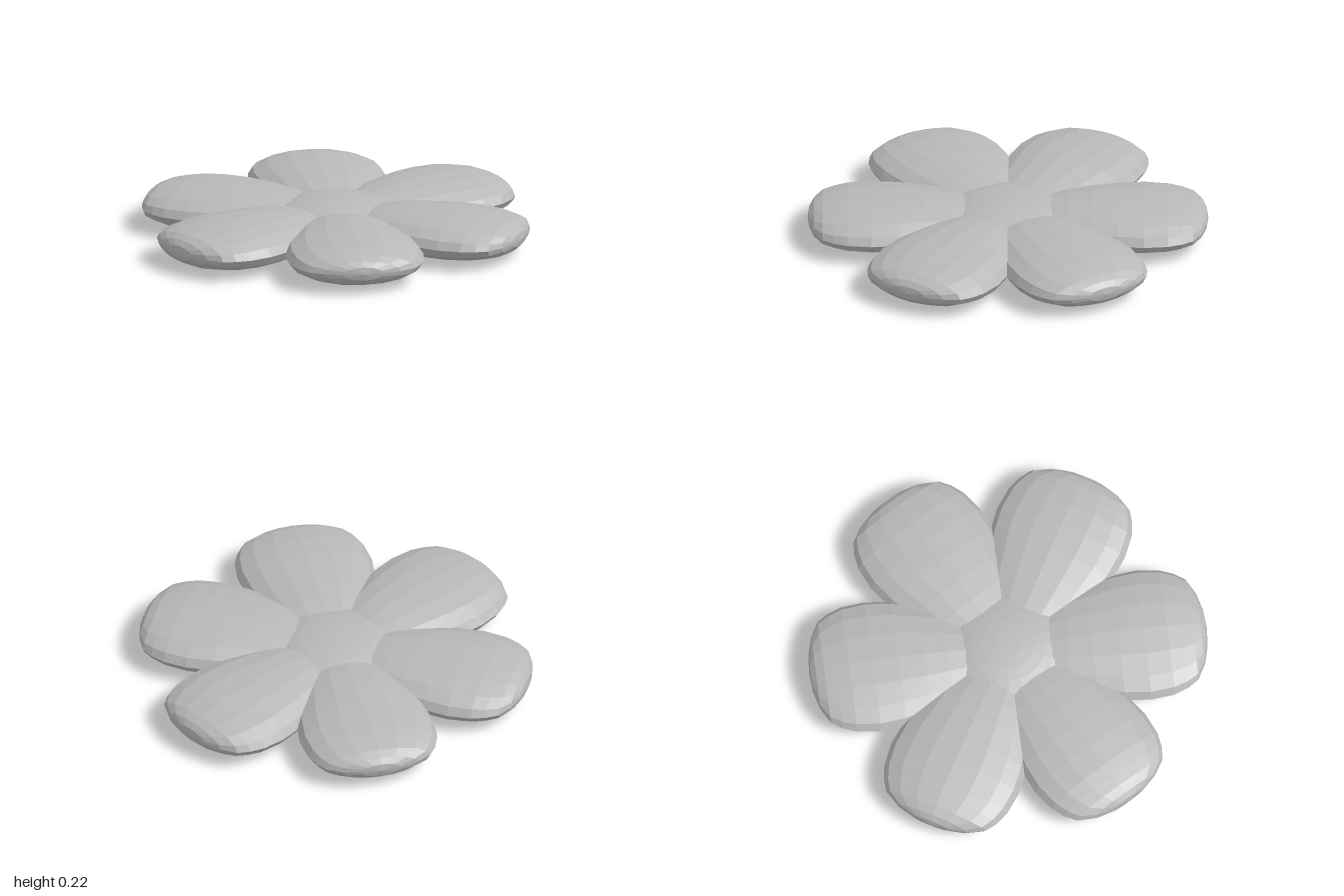
import * as THREE from 'three';

const MID = 0.11; // height of the flower's middle plane
const SIDES = 16;

// petal cross-sections: [distance from centre, half width, half height]
const SECTIONS = [
  [-0.02, 0.001, 0.001], [0.0, 0.08, 0.03], [0.08, 0.15, 0.058], [0.2, 0.222, 0.081],
  [0.3, 0.26, 0.096], [0.42, 0.295, 0.106], [0.55, 0.33, 0.11], [0.68, 0.345, 0.108],
  [0.8, 0.332, 0.1], [0.87, 0.305, 0.088], [0.925, 0.268, 0.077], [0.968, 0.19, 0.058],
  [0.992, 0.1, 0.034], [1.0, 0.001, 0.001],
];

// lofts elliptical rings along +z
function petalGeometry() {
  const points = [], faces = [];
  for (const [z, w, h] of SECTIONS) {
    for (let j = 0; j < SIDES; j++) {
      const a = (j / SIDES) * Math.PI * 2;
      points.push(w * Math.cos(a), h * Math.sin(a), z);
    }
  }
  for (let i = 0; i < SECTIONS.length - 1; i++) {
    for (let j = 0; j < SIDES; j++) {
      const k = (j + 1) % SIDES;
      const a = i * SIDES + j, b = i * SIDES + k, c = a + SIDES, d = b + SIDES;
      faces.push(a, b, c, b, d, c);
    }
  }
  const geometry = new THREE.BufferGeometry();
  geometry.setAttribute('position', new THREE.Float32BufferAttribute(points, 3));
  geometry.setIndex(faces);
  geometry.computeVertexNormals();
  return geometry;
}

export function createModel() {
  const flower = new THREE.Group();
  flower.name = 'flower';
  const grey = new THREE.MeshStandardMaterial({ color: 0xb8b8b8, flatShading: true });
  grey.name = 'light grey';

  // six petals around the centre
  const geometry = petalGeometry();
  for (let i = 0; i < 6; i++) {
    const petal = new THREE.Mesh(geometry, grey);
    petal.name = 'petal' + (i + 1);
    petal.position.y = MID;
    petal.rotation.y = (i * Math.PI) / 3;
    flower.add(petal);
  }

  // domed centre, sunk between the petals
  const centre = new THREE.Mesh(new THREE.SphereGeometry(1, 20, 16), grey);
  centre.name = 'centre';
  centre.scale.set(0.34, 0.107, 0.34);
  centre.position.y = MID;
  flower.add(centre);

  return flower;
}
